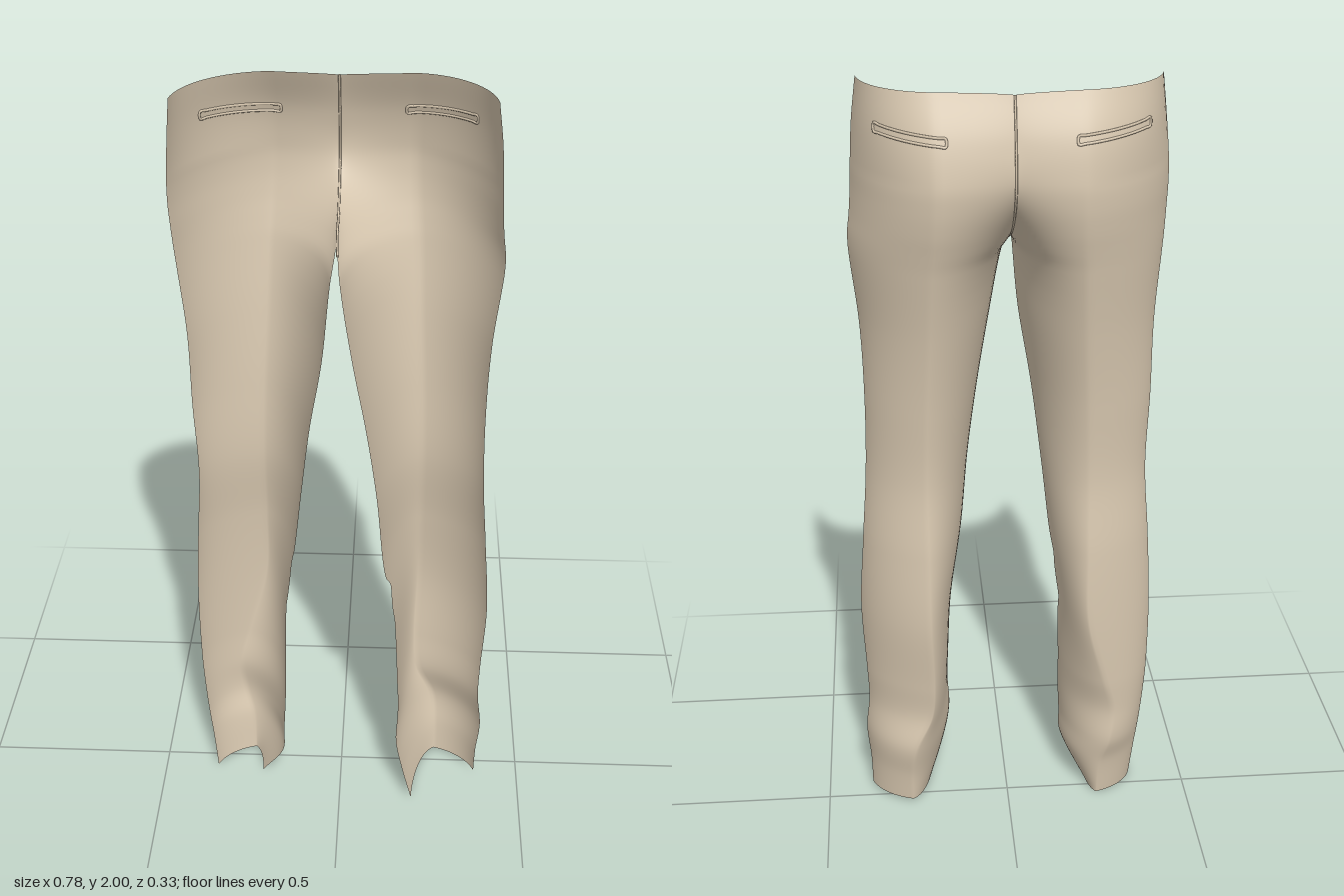
import * as THREE from 'three';

// Each row is a cross-section of one half:
// [y, inner edge x, z, back crease x, z, outer edge x, z]
const LEFT = [
  [2.0, -0.01, -0.105, 0.17, -0.1, 0.345, 0.085],
  [1.9, -0.01, -0.137, 0.17, -0.145, 0.358, 0.08],
  [1.8, -0.01, -0.15, 0.17, -0.167, 0.365, 0.07],
  [1.74, -0.01, -0.125, 0.172, -0.166, 0.368, 0.07],
  [1.68, -0.01, -0.063, 0.175, -0.157, 0.373, 0.07],
  [1.63, -0.01, 0.025, 0.178, -0.145, 0.379, 0.073],
  [1.58, 0.0, 0.13, 0.182, -0.133, 0.378, 0.073],
  [1.4, 0.03, 0.165, 0.19, -0.1, 0.36, 0.07],
  [1.2, 0.065, 0.155, 0.2, -0.076, 0.355, 0.06],
  [1.0, 0.093, 0.147, 0.205, -0.065, 0.36, 0.06],
  [0.8, 0.112, 0.145, 0.205, -0.085, 0.375, 0.05],
  [0.6, 0.143, 0.132, 0.205, -0.095, 0.388, 0.055],
  [0.4, 0.155, 0.138, 0.2, -0.077, 0.38, 0.05],
  [0.3, 0.158, 0.138, 0.21, -0.066, 0.378, 0.055],
  [0.2, 0.155, 0.14, 0.255, -0.07, 0.388, 0.06],
  [0.1, 0.175, 0.148, 0.265, -0.05, 0.38, 0.055],
  [0.015, 0.2, 0.165, 0.265, -0.04, 0.378, 0.05],
];
const RIGHT = [
  [2.0, -0.01, -0.105, -0.17, -0.1, -0.375, 0.09],
  [1.9, -0.01, -0.137, -0.17, -0.145, -0.385, 0.08],
  [1.8, -0.01, -0.15, -0.17, -0.163, -0.393, 0.07],
  [1.74, -0.01, -0.125, -0.172, -0.162, -0.394, 0.066],
  [1.68, -0.01, -0.063, -0.175, -0.153, -0.391, 0.062],
  [1.63, -0.012, 0.025, -0.178, -0.142, -0.388, 0.057],
  [1.58, -0.022, 0.13, -0.182, -0.131, -0.384, 0.053],
  [1.4, -0.04, 0.165, -0.19, -0.1, -0.37, 0.045],
  [1.2, -0.072, 0.138, -0.2, -0.075, -0.368, 0.04],
  [1.0, -0.096, 0.095, -0.205, -0.065, -0.362, 0.035],
  [0.8, -0.118, 0.08, -0.205, -0.085, -0.375, 0.025],
  [0.6, -0.143, 0.08, -0.21, -0.092, -0.385, 0.02],
  [0.4, -0.147, 0.09, -0.26, -0.077, -0.385, 0.02],
  [0.3, -0.15, 0.097, -0.285, -0.065, -0.38, 0.025],
  [0.2, -0.155, 0.105, -0.275, -0.068, -0.372, 0.03],
  [0.12, -0.16, 0.1, -0.255, -0.05, -0.363, 0.035],
  [0.005, -0.222, 0.06, -0.25, -0.035, -0.352, 0.045],
];

// Ragged notches in the inner edge: [y, depth, width]
const HALVES = [
  { name: 'left', rows: LEFT, notches: [[0.7, 0.13, 0.04], [0.6, 0.05, 0.05], [0.34, 0.05, 0.02]] },
  { name: 'right', rows: RIGHT, notches: [[0.74, 0.09, 0.04], [0.6, 0.07, 0.03], [0.4, 0.05, 0.03]] },
];

// Smooth cross-section at height y
function rowAt(rows, y) {
  const n = rows.length - 1;
  let i = 0;
  while (i < n - 1 && y < rows[i + 1][0]) i++;
  const a = rows[i], b = rows[i + 1], h = b[0] - a[0], t = (y - a[0]) / h;
  const slope = (k, c) => {
    const p = rows[Math.max(0, k - 1)], q = rows[Math.min(n, k + 1)];
    return (q[c] - p[c]) / (q[0] - p[0]);
  };
  return a.map((_, c) => {
    const m0 = slope(i, c) * h, m1 = slope(i + 1, c) * h, d = b[c] - a[c];
    return a[c] + t * (m0 + t * (3 * d - 2 * m0 - m1 + t * (m0 + m1 - 2 * d)));
  });
}

// Inner edge depth averaged over nearby heights, so the crotch blends softly into the seat
function softInnerZ(rows, y) {
  const reach = Math.min(0.12, 2 - y, y - rows[rows.length - 1][0]);
  let sum = 0;
  for (let k = -3; k <= 3; k++) sum += (4 - Math.abs(k)) * rowAt(rows, y + reach * k / 3)[2];
  return sum / 16;
}

// Point on a half: s runs from the inner edge (0) over the crease (0.5) to the outer edge (1)
function surfacePoint({ rows, notches }, s, y) {
  const [, xi, zi, xc, zc, xo, zo] = rowAt(rows, y);
  const inner = s <= 0.5;
  let u = Math.abs(1 - 2 * s); // distance from the crease
  if (inner) {
    for (const [ny, depth, width] of notches) u *= 1 - depth * Math.exp(-(((y - ny) / width) ** 2));
  }
  const waist = Math.max(0, (y - 1.8) / 0.2);
  const round = inner ? 0.75 : 0.58 + 0.27 * waist;
  const fx = round * Math.sin(u * Math.PI / 2) + (1 - round) * u;
  const fz = round * (1 - Math.cos(u * Math.PI / 2)) + (1 - round) * u;
  const dip = 0.008 * waist * Math.max(0, 1 - 2 * s); // waist dips at the middle
  const xe = inner ? xi : xo;
  let z = zc + (zo - zc) * fz;
  if (inner) {
    const soft = softInnerZ(rows, y);
    z = zc + (soft - zc) * fz + (zi - soft) * u ** 4;
  }
  return new THREE.Vector3(xc + (xe - xc) * fx, y - dip, z);
}

// One smooth sheet from waist to hem
function halfGeometry(half, nu, nv) {
  const pos = [], idx = [];
  const top = half.rows[0][0], bottom = half.rows[half.rows.length - 1][0];
  for (let j = 0; j <= nv; j++) {
    const y = top + (bottom - top) * j / nv;
    for (let i = 0; i <= nu; i++) pos.push(...surfacePoint(half, i / nu, y));
  }
  for (let j = 0; j < nv; j++) {
    for (let i = 0; i < nu; i++) {
      const a = j * (nu + 1) + i, b = a + nu + 1;
      idx.push(a, b, a + 1, a + 1, b, b + 1);
    }
  }
  const g = new THREE.BufferGeometry();
  g.setAttribute('position', new THREE.Float32BufferAttribute(pos, 3));
  g.setIndex(idx);
  g.computeVertexNormals();
  return g;
}

export function createModel() {
  const group = new THREE.Group();
  const cloth = new THREE.MeshStandardMaterial({ color: 0xd8c8b0, side: THREE.DoubleSide });
  cloth.name = 'tan cloth';
  const add = (name, geometry) => {
    const m = new THREE.Mesh(geometry, cloth);
    m.name = name;
    group.add(m);
  };

  for (const half of HALVES) {
    add(half.name + 'BackPanel', halfGeometry(half, 32, 160));

    // Slim slanted pocket slot outlined by two long lips and short ends
    const edge = (up) => Array.from({ length: 12 }, (_, k) => {
      const t = k / 11;
      return surfacePoint(half, 0.455 + 0.33 * t, 1.898 + 0.015 * t + 0.009 * up);
    });
    const rim = new THREE.CatmullRomCurve3([...edge(1), ...edge(-1).reverse()], true);
    add(half.name + 'PocketWelt', new THREE.TubeGeometry(rim, 120, 0.0035, 6, true));
  }

  // Centre back seam from waist to crotch
  const seam = Array.from({ length: 25 }, (_, k) => surfacePoint(HALVES[0], 0, 2 - k * 0.016));
  add('centreSeam', new THREE.TubeGeometry(new THREE.CatmullRomCurve3(seam), 60, 0.003, 6));

  return group;
}
